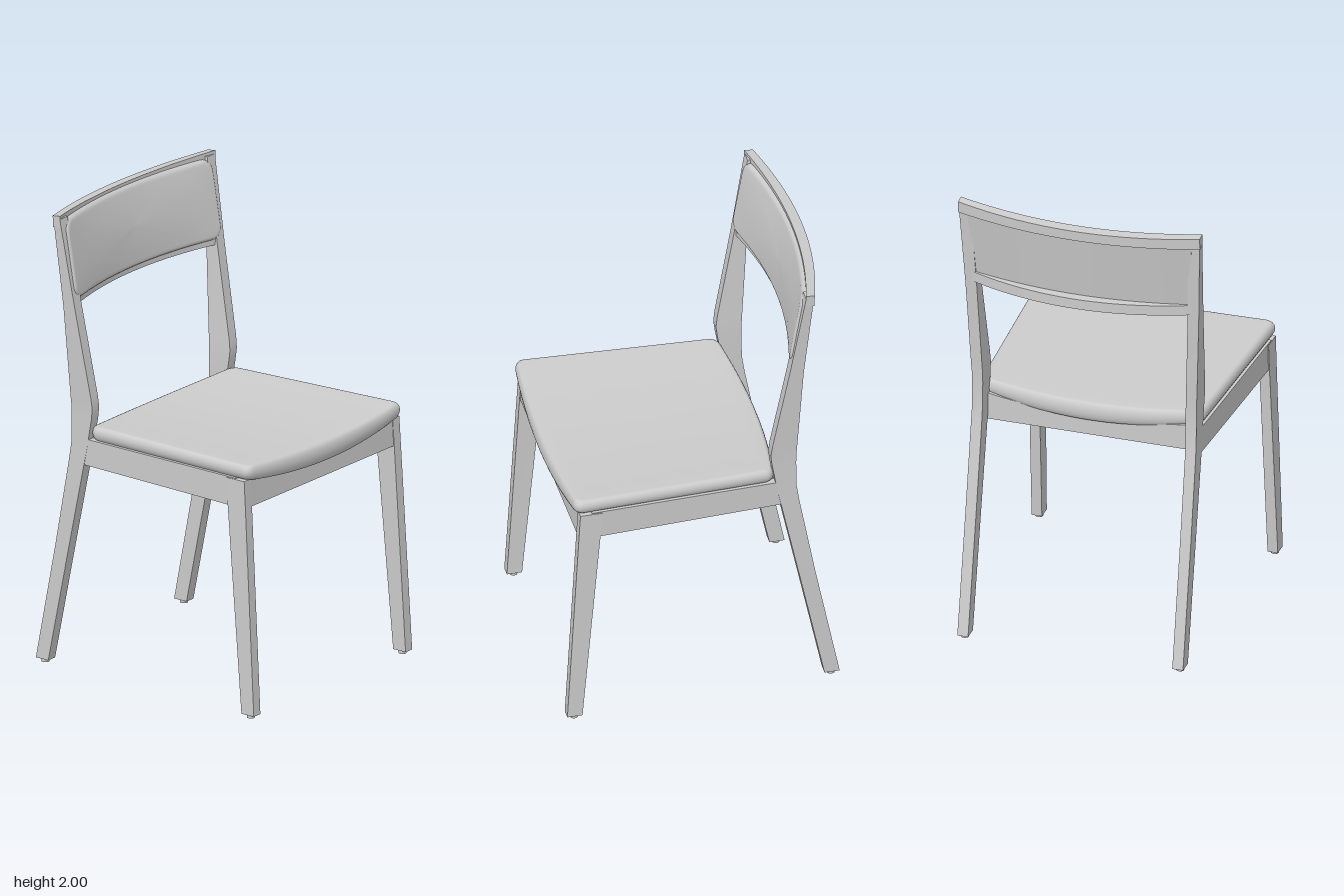
import * as THREE from 'three';
import { toCreasedNormals } from 'three/addons/utils/BufferGeometryUtils.js';

const lerp = THREE.MathUtils.lerp;

function build(points, index) {
  const g = new THREE.BufferGeometry();
  g.setAttribute('position', new THREE.Float32BufferAttribute(points.flat(), 3));
  g.setIndex(index);
  return g;
}

// Beam through four-cornered sections, with closed ends
function beam(sections) {
  const index = [];
  const last = (sections.length - 1) * 4;
  for (let i = 0; i < last; i += 4) {
    for (let k = 0; k < 4; k++) {
      const a = i + k, b = i + (k + 1) % 4;
      index.push(a, b, b + 4, a, b + 4, a + 4);
    }
  }
  index.push(0, 2, 1, 0, 3, 2, last, last + 1, last + 2, last, last + 2, last + 3);
  return toCreasedNormals(build(sections.flat(), index), 0.4);
}

// Leg from rows of [y, front z, back z, inner x, outer x]
function leg(rows, side) {
  return beam(rows.map(([y, zf, zb, xi, xo]) => {
    const c = [[xo * side, y, zf], [xo * side, y, zb], [xi * side, y, zb], [xi * side, y, zf]];
    return side > 0 ? c : c.reverse();
  }));
}

// Rail across x; section(u) gives [z, y] for back bottom, back top, front top, front bottom
function rail(halfWidth, section, steps = 24) {
  const rows = [];
  for (let i = 0; i <= steps; i++) {
    const u = (i / steps) * 2 - 1;
    rows.push(section(u).map(([z, y]) => [u * halfWidth, y, z]));
  }
  return beam(rows);
}

// Rounded rectangle, counter-clockwise, with subdivided straight sides
function outline(w, h, r) {
  const pts = [];
  const corners = [[1, 1], [-1, 1], [-1, -1], [1, -1]];
  corners.forEach(([sx, sy], q) => {
    for (let i = 0; i <= 6; i++) {
      const a = (q + i / 6) * Math.PI / 2;
      pts.push([sx * (w - r) + r * Math.cos(a), sy * (h - r) + r * Math.sin(a)]);
    }
    const [nx, ny] = corners[(q + 1) % 4];
    const [px, py] = pts[pts.length - 1];
    const ex = nx * (w - r) + (q === 1 ? -r : q === 3 ? r : 0);
    const ey = ny * (h - r) + (q === 0 ? r : q === 2 ? -r : 0);
    for (let i = 1; i < 12; i++) pts.push([lerp(px, ex, i / 12), lerp(py, ey, i / 12)]);
  });
  return pts;
}

// Soft-edged pad: concentric rings over the back, round the rim and over the face
function pad(w, h, r, round, map) {
  const base = outline(w, h, r), n = base.length;
  const rings = [];
  for (const s of [0.02, 0.25, 0.5, 0.75]) rings.push([s, s, 0]);
  for (let i = 0; i <= 8; i++) {
    const a = (i / 8 - 0.5) * Math.PI, inset = round * (1 - Math.cos(a));
    rings.push([1 - inset / w, 1 - inset / h, (1 + Math.sin(a)) / 2]);
  }
  for (const s of [0.85, 0.7, 0.5, 0.25, 0.02]) rings.push([s, s, 1]);
  const pts = rings.flatMap(([sx, sy, t]) => base.map(([x, y]) => map(x * sx, y * sy, t)));
  const index = [];
  for (let j = 0; j < rings.length - 1; j++) {
    for (let i = 0; i < n; i++) {
      const a = j * n + i, b = j * n + (i + 1) % n;
      index.push(a, b, b + n, a, b + n, a + n);
    }
  }
  const end = (rings.length - 1) * n;
  for (let i = 1; i < n - 1; i++) index.push(0, i + 1, i, end, end + i, end + i + 1);
  const g = build(pts, index);
  g.computeVertexNormals();
  return g;
}

export function createModel() {
  const group = new THREE.Group();
  const grey = new THREE.MeshStandardMaterial({ color: 0xcccccc });
  grey.name = 'light grey';
  const add = (name, geometry) => {
    const mesh = new THREE.Mesh(geometry, grey);
    mesh.name = name;
    group.add(mesh);
    return mesh;
  };

  const frontRows = [
    [0.015, 0.59, 0.525, 0.495, 0.54],
    [0.92, 0.538, 0.445, 0.485, 0.53],
    [1.035, 0.531, 0.437, 0.483, 0.529],
  ];
  const rearRows = [
    [0.015, -0.525, -0.59, 0.448, 0.495],
    [0.54, -0.417, -0.487, 0.447, 0.494],
    [0.92, -0.338, -0.418, 0.446, 0.493],
    [1.0, -0.322, -0.406, 0.446, 0.492],
    [1.12, -0.301, -0.404, 0.445, 0.492],
    [1.17, -0.295, -0.405, 0.446, 0.493],
    [1.22, -0.301, -0.408, 0.448, 0.496],
    [1.6, -0.372, -0.432, 0.463, 0.512],
    [1.985, -0.438, -0.472, 0.476, 0.529],
  ];

  // Legs, feet and side aprons
  for (const side of [1, -1]) {
    const word = side > 0 ? 'left' : 'right';
    add(word + 'FrontLeg', leg(frontRows, side));
    add(word + 'RearLeg', leg(rearRows, side));
    for (const [x, z, end] of [[0.517, 0.557, 'Front'], [0.472, -0.557, 'Rear']]) {
      add(word + end + 'Foot', new THREE.CylinderGeometry(0.017, 0.017, 0.02, 16))
        .position.set(x * side, 0.01, z);
    }
    const apronEnd = (z, xo, top) => {
      const xs = [xo * side, (xo - 0.036) * side].sort((a, b) => b - a);
      return [[xs[0], 0.915, z], [xs[0], top, z], [xs[1], top, z], [xs[1], 0.915, z]];
    };
    add(word + 'Apron', beam([apronEnd(-0.36, 0.49, 1.03), apronEnd(0.48, 0.527, 1.04)]));
  }

  // Front and rear aprons, dished to carry the seat
  const dish = (u) => 0.995 + 0.042 * u * u;
  add('frontApron', rail(0.5, (u) => [[0.485, 0.915], [0.485, dish(u)], [0.53, dish(u)], [0.535, 0.915]]));
  add('rearApron', rail(0.46, (u) => [[-0.33, 0.915], [-0.33, dish(u)], [-0.285, dish(u)], [-0.285, 0.915]]));

  // Seat: tapered, bowed front and rear, dished across
  add('seat', pad(1, 1, 0.07, 0.045, (u, w, t) => {
    const v = -w;
    const k = (v + 1) / 2;
    const bottom = 0.99 + 0.045 * u * u, top = 1.077 + 0.021 * u * u;
    return [
      u * lerp(0.49, 0.53, k),
      lerp(bottom, top, t) + 0.005 * v,
      lerp(-0.355 + 0.045 * u * u, 0.58 - 0.03 * u * u, k),
    ];
  }));

  // Curved, leaning surface shared by the backrest parts
  const back = (u, y) => -0.38 - (y - 1.65) * 0.17 - 0.07 * (1 - u * u);
  add('topRail', rail(0.53, (u) => {
    const d = 0.012 * (1 - u * u), z = back(u, 2) + 0.003;
    return [[z - 0.036 - 0.007 * (1 - u * u), 1.945 - d / 2], [z - 0.038 - 0.007 * (1 - u * u), 1.995 - d], [z, 2 - d], [z, 1.95 - d / 2]];
  }));
  add('lowerRail', rail(0.48, (u) => {
    const zb = -0.435 - 0.1 * (1 - u * u), z = back(u, 1.63) - 0.005;
    return [[zb, 1.61], [zb, 1.655], [z, 1.66], [z, 1.612]];
  }));
  add('backPanel', rail(0.49, (u) => {
    const lo = back(u, 1.63), hi = back(u, 1.97);
    return [[lo - 0.045, 1.63], [hi - 0.04, 1.97], [hi - 0.015, 1.97], [lo - 0.015, 1.63]];
  }));

  // Backrest cushion, gently domed
  add('backCushion', pad(0.5, 0.17, 0.05, 0.016, (x, h, t) => {
    const u = x / 0.5, v = h / 0.17, y = 1.805 + h;
    const dome = 0.014 * (1 - u ** 4) * (1 - v * v);
    return [x, y, back(u, y) + lerp(-0.022, 0.01 + dome, t)];
  }));

  return group;
}
